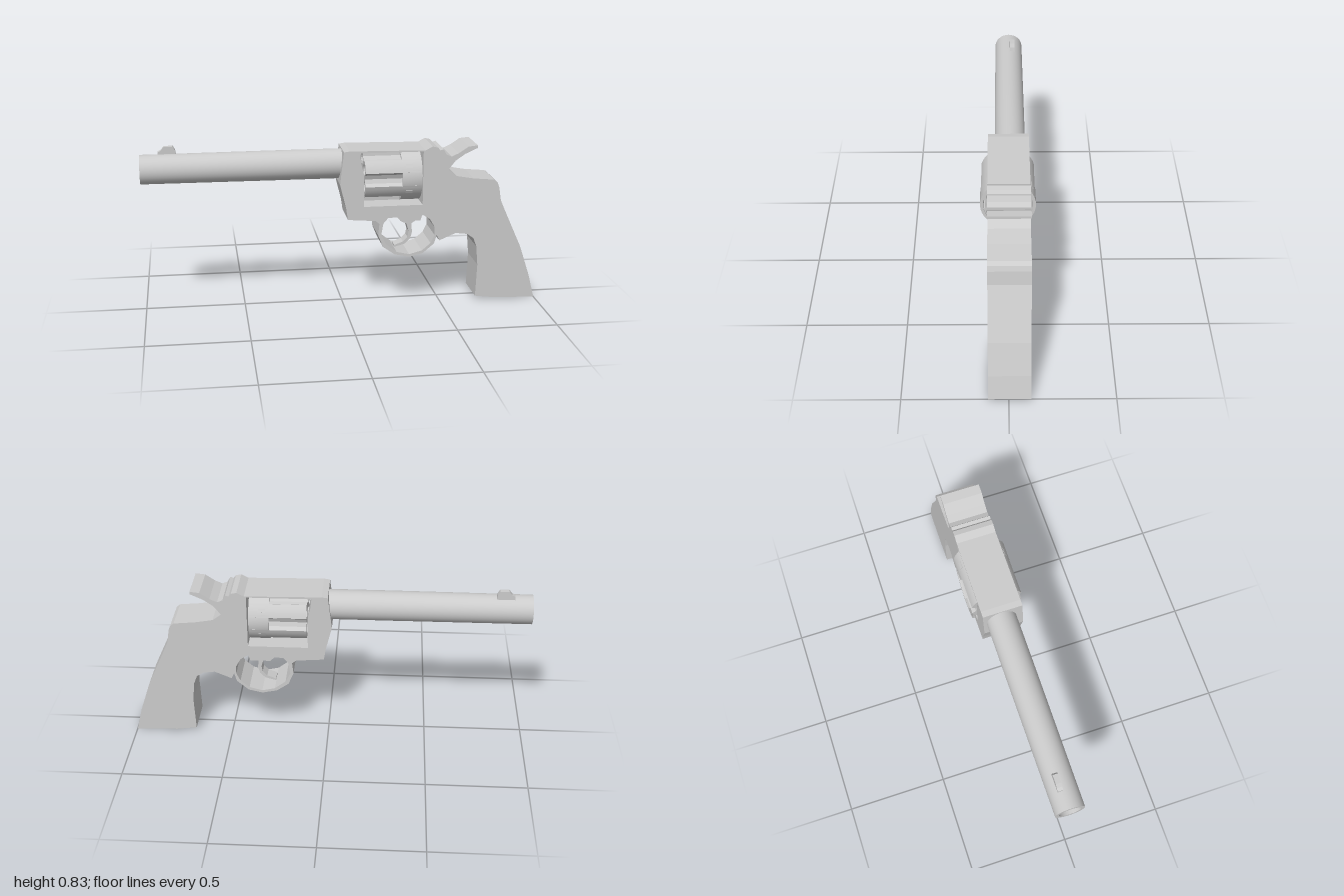
import * as THREE from 'three';
import { toCreasedNormals } from 'three/addons/utils/BufferGeometryUtils.js';

const material = new THREE.MeshStandardMaterial({ color: 0xcccccc, side: THREE.DoubleSide });

const toPoints = (list) => list.map(([x, y]) => new THREE.Vector2(x, y));

// Flat plate in the xy plane between two depths, with optional holes
function plate(outline, z0, z1, holes = []) {
  const shape = new THREE.Shape(toPoints(outline));
  shape.holes = holes.map((h) => new THREE.Path(toPoints(h)));
  const geo = new THREE.ExtrudeGeometry(shape, { depth: z1 - z0, bevelEnabled: false });
  return geo.translate(0, 0, z0);
}

// Ring of points around a centre
function circle(cx, cy, r, n) {
  return Array.from({ length: n }, (_, i) => {
    const a = (i / n) * Math.PI * 2;
    return [cx + r * Math.cos(a), cy + r * Math.sin(a)];
  });
}

// Section in the zy plane drawn out along x, about the drum axis
const AXIS_Y = 0.665;
function alongX(outline, x0, x1, holes) {
  const geo = plate(outline, x0, x1, holes).rotateY(Math.PI / 2).translate(0, AXIS_Y, 0);
  return toCreasedNormals(geo, 0.4);
}

export function createModel() {
  const group = new THREE.Group();
  const add = (name, geo, parent = group) => {
    const mesh = new THREE.Mesh(geo, material);
    mesh.name = name;
    parent.add(mesh);
    return mesh;
  };

  // Frame, guard, grip and hammer share one silhouette
  const frameOutline = [
    [0, 0.805], [-0.02, 0.64], [0.01, 0.52], [0.02, 0.457], [0.16, 0.446], [0.18, 0.43],
    // guard
    [0.174, 0.37], [0.2, 0.307], [0.26, 0.265], [0.335, 0.249], [0.404, 0.265], [0.463, 0.315], [0.476, 0.36],
    // grip
    [0.49, 0.33], [0.575, 0.366], [0.635, 0.358], [0.668, 0.335], [0.685, 0.29], [0.694, 0.19], [0.687, 0.02],
    [0.79, 0.006], [1, 0], [0.97, 0.12], [0.917, 0.28], [0.837, 0.457], [0.805, 0.53], [0.794, 0.6],
    [0.785, 0.625], [0.767, 0.64], [0.66, 0.65], [0.57, 0.666], [0.527, 0.698],
    // hammer
    [0.564, 0.745], [0.612, 0.778], [0.676, 0.807], [0.676, 0.82], [0.628, 0.815], [0.58, 0.783],
    [0.543, 0.767], [0.516, 0.778], [0.502, 0.805], [0.485, 0.8], [0.473, 0.815], [0.446, 0.821],
    [0.41, 0.803], [0.03, 0.809],
  ];
  const drumWindow = [[0.08, 0.797], [0.085, 0.75], [0.1, 0.69], [0.1, 0.522], [0.4, 0.522], [0.4, 0.797]];
  const guardHole = [
    [0.19, 0.37], [0.2, 0.43], [0.225, 0.46], [0.27, 0.46], [0.29, 0.44], [0.39, 0.44], [0.4, 0.47],
    [0.44, 0.445], [0.465, 0.4], [0.465, 0.36], [0.445, 0.318], [0.4, 0.28], [0.335, 0.263],
    [0.27, 0.278], [0.215, 0.32],
  ];
  add('frame', plate(frameOutline, -0.104, 0.096, [drumWindow, guardHole]));

  // Trigger
  add('trigger', plate([
    [0.29, 0.445], [0.39, 0.445], [0.38, 0.42], [0.357, 0.405], [0.362, 0.36], [0.352, 0.325], [0.325, 0.298],
    [0.27, 0.283], [0.27, 0.293], [0.315, 0.31], [0.338, 0.335], [0.344, 0.365], [0.332, 0.405], [0.3, 0.42],
  ], -0.035, 0.027));

  // Hollow barrel
  const barrel = new THREE.LatheGeometry(toPoints([
    [0.075, -0.04], [0.075, 0.3], [0.073, 1], [0.055, 1], [0.055, 0.5], [0, 0.5],
  ]), 32).rotateZ(Math.PI / 2);
  add('barrel', toCreasedNormals(barrel, 0.6)).position.set(0, 0.725, -0.012);

  // Front sight
  add('frontSight', plate([
    [-0.91, 0.79], [-0.82, 0.79], [-0.825, 0.815], [-0.835, 0.834], [-0.88, 0.834], [-0.895, 0.815], [-0.91, 0.808],
  ], -0.044, -0.018));

  // Drum: six flutes, with a chamber in each land
  const drum = new THREE.Group();
  drum.name = 'drum';
  group.add(drum);
  const R = 0.132;
  const rad = THREE.MathUtils.degToRad;
  const flute = [[-15, R], [-11, 0.11], [0, 0.1], [11, 0.11], [15, R], [22.5, R], [30, R], [37.5, R]];
  const section = [];
  const chambers = [];
  for (let k = 0; k < 6; k++) {
    for (const [deg, r] of flute) {
      const a = rad(k * 60 + deg);
      section.push([r * Math.cos(a), r * Math.sin(a)]);
    }
    const c = rad(k * 60 + 30);
    chambers.push(circle(0.085 * Math.cos(c), 0.085 * Math.sin(c), 0.028, 14));
  }
  add('flutedDrum', alongX(section, 0.104, 0.385, chambers), drum);
  add('drumCollar', alongX(circle(0, 0, R, 36), 0.29, 0.39, [circle(0, 0, 0.118, 36)]), drum);
  add('drumPin', alongX(circle(0, 0, 0.03, 16), 0.06, 0.42), drum);

  // Locking notches around the collar
  for (let k = 0; k < 6; k++) {
    const notch = add('drumNotch', new THREE.BoxGeometry(0.035, 0.005, 0.018), drum);
    const a = rad(k * 60 + 30);
    notch.position.set(0.325, AXIS_Y + 0.1305 * Math.sin(a), 0.1305 * Math.cos(a));
    notch.rotation.x = Math.PI / 2 - a;
  }
  return group;
}
